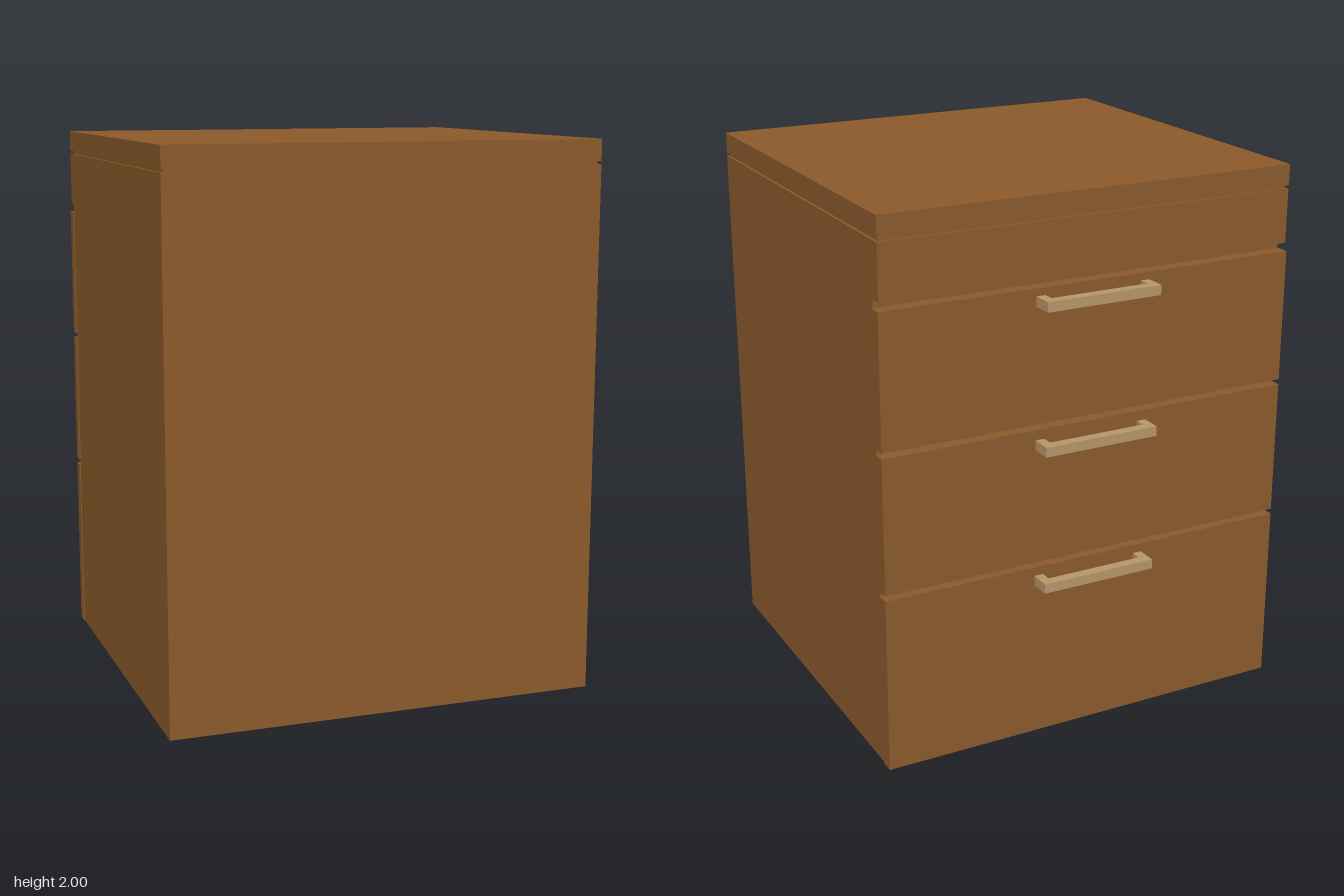
import * as THREE from 'three';

export function createModel() {
  const cabinet = new THREE.Group();
  cabinet.name = 'drawerCabinet';

  const wood = new THREE.MeshStandardMaterial({ color: 0x8b5a2b });
  wood.name = 'brown wood';
  const brass = new THREE.MeshStandardMaterial({ color: 0xb8966a });
  brass.name = 'pale handle';

  // Box given by its lower and upper limits on each axis
  function box(name, material, [x0, x1], [y0, y1], [z0, z1], parent = cabinet) {
    const mesh = new THREE.Mesh(new THREE.BoxGeometry(x1 - x0, y1 - y0, z1 - z0), material);
    mesh.position.set((x0 + x1) / 2, (y0 + y1) / 2, (z0 + z1) / 2);
    mesh.name = name;
    parent.add(mesh);
  }

  const width = [-0.79, 0.79];

  // Carcass, the fixed rail above the drawers, and the top on its shadow gap
  box('carcass', wood, width, [0, 1.912], [-0.63, 0.757]);
  box('topRail', wood, width, [1.715, 1.912], [-0.675, -0.63]);
  box('shadowGap', wood, [-0.78, 0.78], [1.912, 1.924], [-0.665, 0.747]);
  box('top', wood, width, [1.924, 2], [-0.677, 0.757]);

  // Three drawers, each with a bar handle on two posts
  const drawers = [[0, 0.66], [0.68, 1.18], [1.2, 1.685]];
  const handleBottoms = [0.592, 1.107, 1.622];
  drawers.forEach((span, i) => {
    const drawer = new THREE.Group();
    drawer.name = `drawer${i + 1}`;
    cabinet.add(drawer);
    box('drawerFront', wood, [-0.794, 0.794], span, [-0.68, -0.63], drawer);

    const y = [handleBottoms[i], handleBottoms[i] + 0.036];
    box('handleBar', brass, [-0.22, 0.22], y, [-0.757, -0.72], drawer);
    box('handlePostRight', brass, [-0.22, -0.186], y, [-0.72, -0.68], drawer);
    box('handlePostLeft', brass, [0.186, 0.22], y, [-0.72, -0.68], drawer);
  });

  return cabinet;
}
